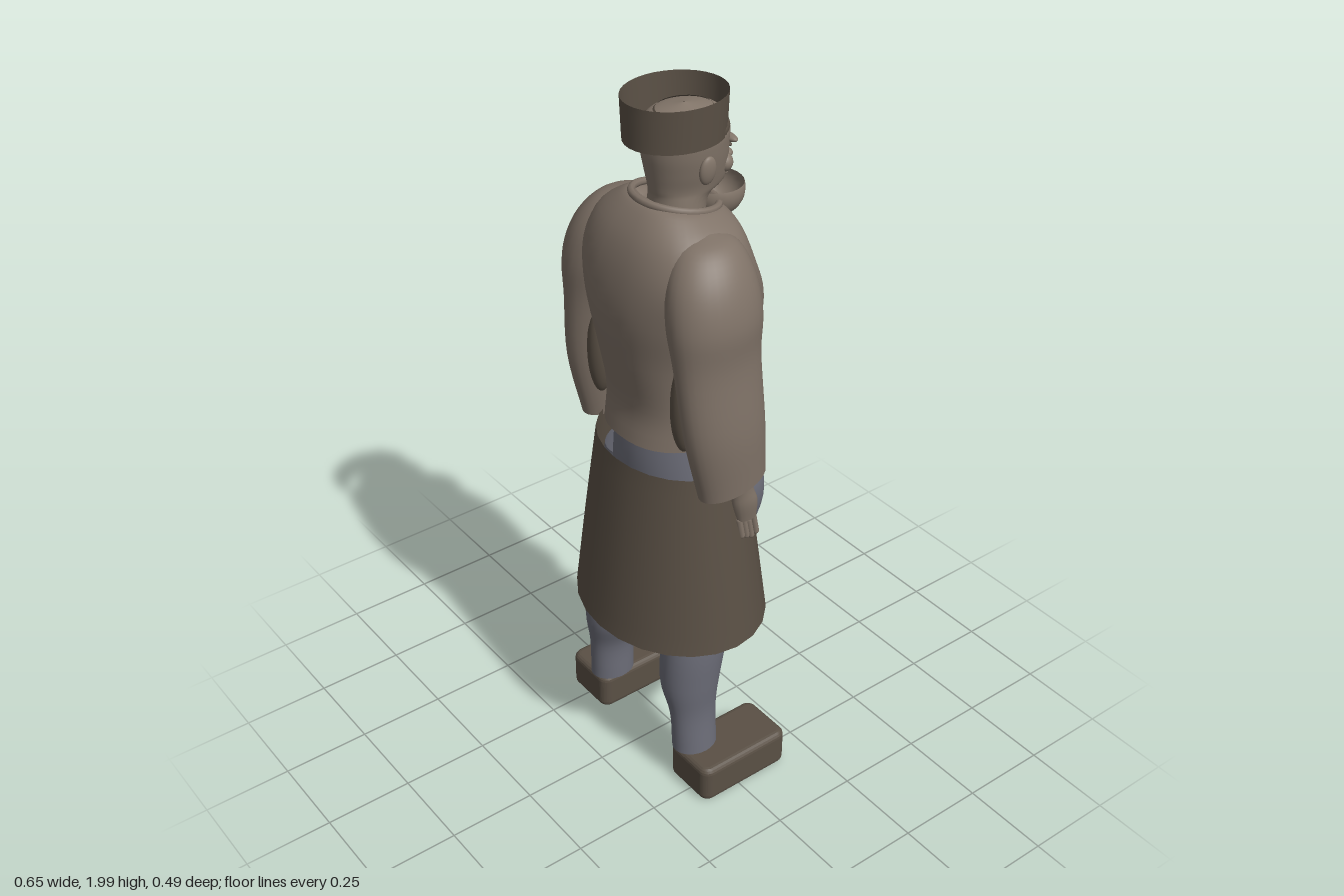
import * as THREE from 'three';

const mat = (name, color, side = THREE.DoubleSide) =>
  Object.assign(new THREE.MeshStandardMaterial({ color, side }), { name });

export function createModel() {
  const shirt = mat('shirt cloth', 0x7f7267);
  const dark = mat('dark leather', 0x5a5045);
  const cloth = mat('trouser cloth', 0x6c6d78);
  const skin = mat('skin', 0x83766a);
  const model = new THREE.Group();
  model.name = 'figure';

  const add = (name, geometry, material, parent = model) => {
    const mesh = new THREE.Mesh(geometry, material);
    mesh.name = name;
    parent.add(mesh);
    return mesh;
  };

  // Smooth tube through cross-sections [x, y, z, rx, rz, tilt], listed bottom to top
  const loft = (rings, { power = 2, sides = 32, steps = 5 } = {}) => {
    const spline = (f) => new THREE.CatmullRomCurve3(rings.map(f), false, 'catmullrom', 0.5);
    const centres = spline((r) => new THREE.Vector3(r[0], r[1], r[2]));
    const sizes = spline((r) => new THREE.Vector3(r[3], r[4], r[5] || 0));
    const rows = (rings.length - 1) * steps;
    const pos = [], index = [];
    const bend = (v) => Math.sign(v) * Math.abs(v) ** (2 / power);
    for (let i = 0; i <= rows; i++) {
      const c = centres.getPoint(i / rows), s = sizes.getPoint(i / rows);
      for (let j = 0; j < sides; j++) {
        const a = (j / sides) * Math.PI * 2;
        const dz = s.y * bend(Math.sin(a));
        pos.push(c.x + s.x * bend(Math.cos(a)), c.y + s.z * dz, c.z + dz);
        if (i === rows) continue;
        const k = (j + 1) % sides, p = i * sides, q = p + sides;
        index.push(p + j, q + j, p + k, p + k, q + j, q + k);
      }
    }
    const g = new THREE.BufferGeometry();
    g.setAttribute('position', new THREE.Float32BufferAttribute(pos, 3));
    g.setIndex(index);
    g.computeVertexNormals();
    return g;
  };

  const blob = (name, material, [x, y, z], [rx, ry, rz], parent = model) => {
    const mesh = add(name, new THREE.SphereGeometry(1, 24, 16), material, parent);
    mesh.position.set(x, y, z);
    mesh.scale.set(rx, ry, rz);
    return mesh;
  };

  // Shirt body and collar
  add('shirtBody', loft([
    [0, 1.085, -0.022, 0.17, 0.188, 0.08],
    [0, 1.2, -0.02, 0.175, 0.174],
    [0, 1.34, -0.018, 0.185, 0.197],
    [0, 1.47, -0.01, 0.22, 0.206],
    [0, 1.58, 0.008, 0.24, 0.178],
    [0, 1.67, 0.01, 0.205, 0.147],
    [0, 1.72, -0.005, 0.135, 0.112, 0.15],
    [0, 1.73, -0.015, 0.1, 0.088, 0.2],
  ], { power: 2.4, sides: 40 }), shirt);
  const collar = add('collar', new THREE.TorusGeometry(0.108, 0.01, 8, 36), shirt);
  collar.rotation.x = Math.PI / 2 - 0.2;
  collar.position.set(0, 1.728, -0.012);

  // Waist of the trousers, showing between shirt and skirt
  add('waist', loft([
    [0, 0.9, -0.01, 0.19, 0.15],
    [0, 1.03, -0.01, 0.175, 0.15],
    [0, 1.15, -0.015, 0.16, 0.14],
  ]), cloth);

  // Flared open skirt
  add('skirt', loft([
    [0, 0.505, 0.002, 0.297, 0.244],
    [0, 0.77, 0.004, 0.264, 0.21],
    [0, 1.035, 0.005, 0.228, 0.175],
  ], { sides: 24 }), dark);

  // Paired parts
  for (const s of [1, -1]) {
    const side = s > 0 ? 'left' : 'right';

    add(side + 'Sleeve', loft([
      [s * 0.255, 1.03, 0, 0.06, 0.1, -0.2],
      [s * 0.252, 1.2, 0.025, 0.07, 0.118],
      [s * 0.232, 1.39, 0.035, 0.077, 0.123],
      [s * 0.217, 1.51, 0.035, 0.096, 0.13],
      [s * 0.195, 1.61, 0.03, 0.09, 0.115],
      [s * 0.17, 1.68, 0.02, 0.06, 0.075],
      [s * 0.15, 1.705, 0.015, 0.004, 0.004],
    ]), shirt);
    blob(side + 'SleeveLining', dark, [s * 0.178, 1.25, 0.095], [0.035, 0.13, 0.036]);

    // Forearm, palm and fingers
    add(side + 'Hand', loft([
      [s * 0.245, 0.88, -0.062, 0.014, 0.03],
      [s * 0.25, 0.94, -0.05, 0.022, 0.038],
      [s * 0.25, 1.0, -0.035, 0.026, 0.033],
      [s * 0.25, 1.12, -0.01, 0.04, 0.045],
    ], { sides: 16 }), skin);
    for (let i = 0; i < 4; i++) {
      const finger = add(side + 'Finger', new THREE.CapsuleGeometry(0.009, 0.055, 4, 8), skin);
      finger.position.set(s * 0.244, 0.855 - i * 0.006 + (i === 3 ? 0.012 : 0), -0.042 - i * 0.016);
      finger.rotation.x = 0.2;
    }

    // Thigh bulging through the skirt, and the lower leg
    blob(side + 'Thigh', cloth, [s * 0.152, 0.925, -0.093], [0.083, 0.145, 0.078]);
    add(side + 'Leg', loft([
      [s * 0.198, 0.125, 0.068, 0.054, 0.067],
      [s * 0.192, 0.25, 0.07, 0.053, 0.07],
      [s * 0.178, 0.36, 0.07, 0.076, 0.087],
      [s * 0.18, 0.5, 0.055, 0.082, 0.096],
      [s * 0.165, 0.7, 0.01, 0.088, 0.11],
      [s * 0.14, 0.95, -0.02, 0.09, 0.12],
    ]), cloth);

    // Rounded block shoe
    const r = 0.03, w = 0.17, d = 0.295, h = 0.115;
    const sole = new THREE.Shape();
    const x = w / 2 - r, z = d / 2 - r;
    sole.absarc(x, z, 0.012, 0, Math.PI / 2);
    sole.absarc(-x, z, 0.012, Math.PI / 2, Math.PI);
    sole.absarc(-x, -z, 0.012, Math.PI, Math.PI * 1.5);
    sole.absarc(x, -z, 0.012, Math.PI * 1.5, Math.PI * 2);
    const shoe = add(side + 'Shoe', new THREE.ExtrudeGeometry(sole, {
      depth: h - 0.036, bevelThickness: 0.018, bevelSize: 0.018, bevelSegments: 4, curveSegments: 5,
    }), dark);
    shoe.rotation.x = -Math.PI / 2;
    shoe.position.set(s * 0.242, 0.028, -0.02);
  }

  // Head, facing -z
  const head = new THREE.Group();
  head.name = 'head';
  model.add(head);
  add('skull', loft([
    [0, 1.62, -0.005, 0.08, 0.075],
    [0, 1.73, -0.02, 0.074, 0.074],
    [0, 1.765, -0.045, 0.077, 0.103],
    [0, 1.81, -0.044, 0.088, 0.11],
    [0, 1.86, -0.04, 0.097, 0.114],
    [0, 1.905, -0.04, 0.098, 0.113],
    [0, 1.945, -0.038, 0.075, 0.088],
    [0, 1.965, -0.038, 0.002, 0.002],
  ]), skin, head);
  const nose = blob('nose', skin, [0, 1.818, -0.152], [0.013, 0.036, 0.017], head);
  nose.rotation.x = 0.3;
  blob('noseTip', skin, [0, 1.8, -0.166], [0.02, 0.012, 0.018], head);
  blob('lips', skin, [0, 1.762, -0.146], [0.03, 0.012, 0.018], head);
  for (const s of [1, -1]) {
    blob('brow', skin, [s * 0.038, 1.862, -0.143], [0.034, 0.01, 0.014], head);
    blob('cheek', skin, [s * 0.045, 1.805, -0.122], [0.028, 0.026, 0.024], head);
    blob('eye', dark, [s * 0.036, 1.842, -0.145], [0.014, 0.005, 0.006], head);
    const ear = blob('ear', skin, [s * 0.103, 1.828, -0.03], [0.012, 0.038, 0.024], head);
    ear.rotation.z = -s * 0.12;
  }

  // Bowl-shaped chin beard
  const beard = add('beard', new THREE.SphereGeometry(1, 28, 12, 0, Math.PI * 2, Math.PI * 0.42, Math.PI * 0.58), skin, head);
  beard.scale.set(0.082, 0.072, 0.078);
  beard.position.set(0, 1.718, -0.13);

  // Cropped hair ring and open brimless hat
  add('hair', loft([
    [0, 1.885, -0.038, 0.1, 0.113],
    [0, 1.915, -0.038, 0.099, 0.112],
    [0, 1.953, -0.038, 0.064, 0.073],
  ]), dark, head);
  add('hat', loft([
    [0, 1.89, -0.01, 0.113, 0.133],
    [0, 2.0, -0.01, 0.118, 0.137],
  ]), dark, head);

  return model;
}
